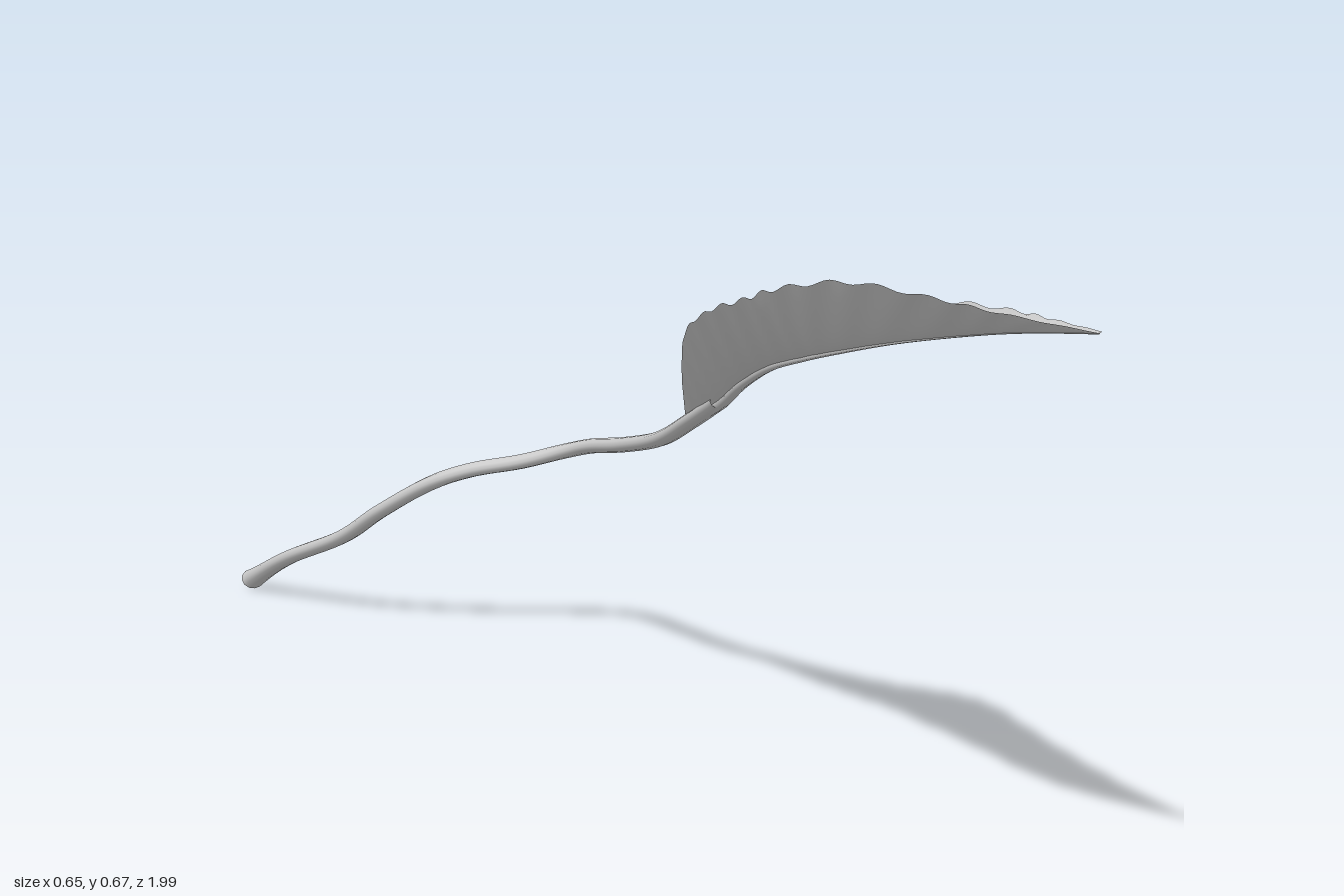
import * as THREE from 'three';

const material = new THREE.MeshStandardMaterial({ color: 0xcccccc, side: THREE.DoubleSide });
const curve = (pts) => new THREE.CatmullRomCurve3(pts.map((p) => new THREE.Vector3(...p)), false, 'catmullrom', 0.5);

// Grid of vertices from a rule (i, j) -> Vector3, skinned with quads
function gridGeometry(rows, cols, pointAt) {
  const pos = [], index = [];
  for (let i = 0; i <= rows; i++) {
    for (let j = 0; j <= cols; j++) pos.push(...pointAt(i / rows, j / cols).toArray());
  }
  for (let i = 0; i < rows; i++) {
    for (let j = 0; j < cols; j++) {
      const a = i * (cols + 1) + j, b = a + 1, c = a + cols + 1, d = c + 1;
      index.push(a, c, b, b, c, d);
    }
  }
  const geo = new THREE.BufferGeometry();
  geo.setAttribute('position', new THREE.Float32BufferAttribute(pos, 3));
  geo.setIndex(index);
  geo.computeVertexNormals();
  return geo;
}

// Oval tube along a path; size(t) gives [half width, half height]
function ovalTube(path, rows, sides, size) {
  const up = new THREE.Vector3(0, 1, 0);
  return gridGeometry(rows, sides, (t, s) => {
    const tangent = path.getTangentAt(t);
    const side = new THREE.Vector3().crossVectors(up, tangent).normalize();
    const normal = new THREE.Vector3().crossVectors(tangent, side);
    const a = s * Math.PI * 2, [w, h] = size(t);
    return path.getPointAt(t).addScaledVector(side, Math.cos(a) * w).addScaledVector(normal, Math.sin(a) * h);
  });
}

function addMesh(group, name, geo) {
  const mesh = new THREE.Mesh(geo, material);
  mesh.name = name;
  group.add(mesh);
  return mesh;
}

export function createModel() {
  const leaf = new THREE.Group();
  leaf.name = 'leaf';

  // Winding stalk, a little thicker at the cut end
  const stalkPath = curve([
    [-0.313, 0.022, -0.985], [-0.27, 0.075, -0.88], [-0.205, 0.128, -0.76], [-0.16, 0.18, -0.68],
    [-0.1, 0.232, -0.605], [-0.045, 0.257, -0.567], [0.02, 0.272, -0.535], [0.075, 0.292, -0.495],
    [0.104, 0.309, -0.435], [0.125, 0.328, -0.33], [0.146, 0.358, -0.2], [0.163, 0.398, -0.1],
    [0.177, 0.44, 0],
  ]);
  const stalkSize = (t) => {
    const flare = 0.005 * Math.exp(-t * 25);
    return [0.014 + flare, 0.0105 + flare];
  };
  addMesh(leaf, 'stalk', ovalTube(stalkPath, 90, 12, stalkSize));

  // Flat cut closing the stalk's end
  const [w, h] = stalkSize(0);
  const cut = addMesh(leaf, 'stalkCut', new THREE.CircleGeometry(1, 12));
  cut.scale.set(w, h, 1);
  cut.position.copy(stalkPath.getPointAt(0));
  cut.lookAt(cut.position.clone().sub(stalkPath.getTangentAt(0)));

  // Rails of the blade: both margins and the keel between them
  const rightMargin = curve([
    [0.155, 0.408, -0.1], [0.126, 0.48, 0], [0.109, 0.545, 0.09], [0.112, 0.586, 0.2], [0.128, 0.612, 0.3],
    [0.145, 0.638, 0.4], [0.169, 0.67, 0.6], [0.204, 0.678, 0.8], [0.25, 0.673, 0.9], [0.317, 0.665, 1],
  ]);
  const keel = curve([
    [0.163, 0.398, -0.1], [0.177, 0.435, 0], [0.183, 0.475, 0.09], [0.19, 0.513, 0.2], [0.203, 0.538, 0.3],
    [0.214, 0.56, 0.4], [0.228, 0.6, 0.6], [0.252, 0.636, 0.8], [0.282, 0.652, 0.9], [0.32, 0.664, 1],
  ]);
  const leftMargin = curve([
    [0.172, 0.402, -0.1], [0.192, 0.444, 0], [0.205, 0.49, 0.09], [0.232, 0.54, 0.2], [0.276, 0.583, 0.3],
    [0.291, 0.615, 0.4], [0.287, 0.645, 0.6], [0.295, 0.662, 0.8], [0.307, 0.665, 0.9], [0.323, 0.666, 1],
  ]);

  // Trough-shaped blade with slanting vein ripples that fade toward the tip and keel
  addMesh(leaf, 'blade', gridGeometry(120, 24, (t, s) => {
    const u = s * 2 - 1, k = Math.abs(u);
    const mid = keel.getPoint(t);
    const out = (u < 0 ? rightMargin : leftMargin).getPoint(t).sub(mid);
    const ripple = 0.003 * k * Math.sin(t * Math.PI) * Math.sin(t * 95 - k * 9);
    return mid.add(new THREE.Vector3(out.x * k, out.y * Math.pow(k, 1.4) + ripple, out.z * k));
  }));

  // Midrib tapering along the keel
  addMesh(leaf, 'midrib', ovalTube(keel, 60, 8, (t) => {
    const r = 0.001 + 0.009 * Math.pow(1 - t, 2);
    return [r, r * 0.8];
  }));

  return leaf;
}
